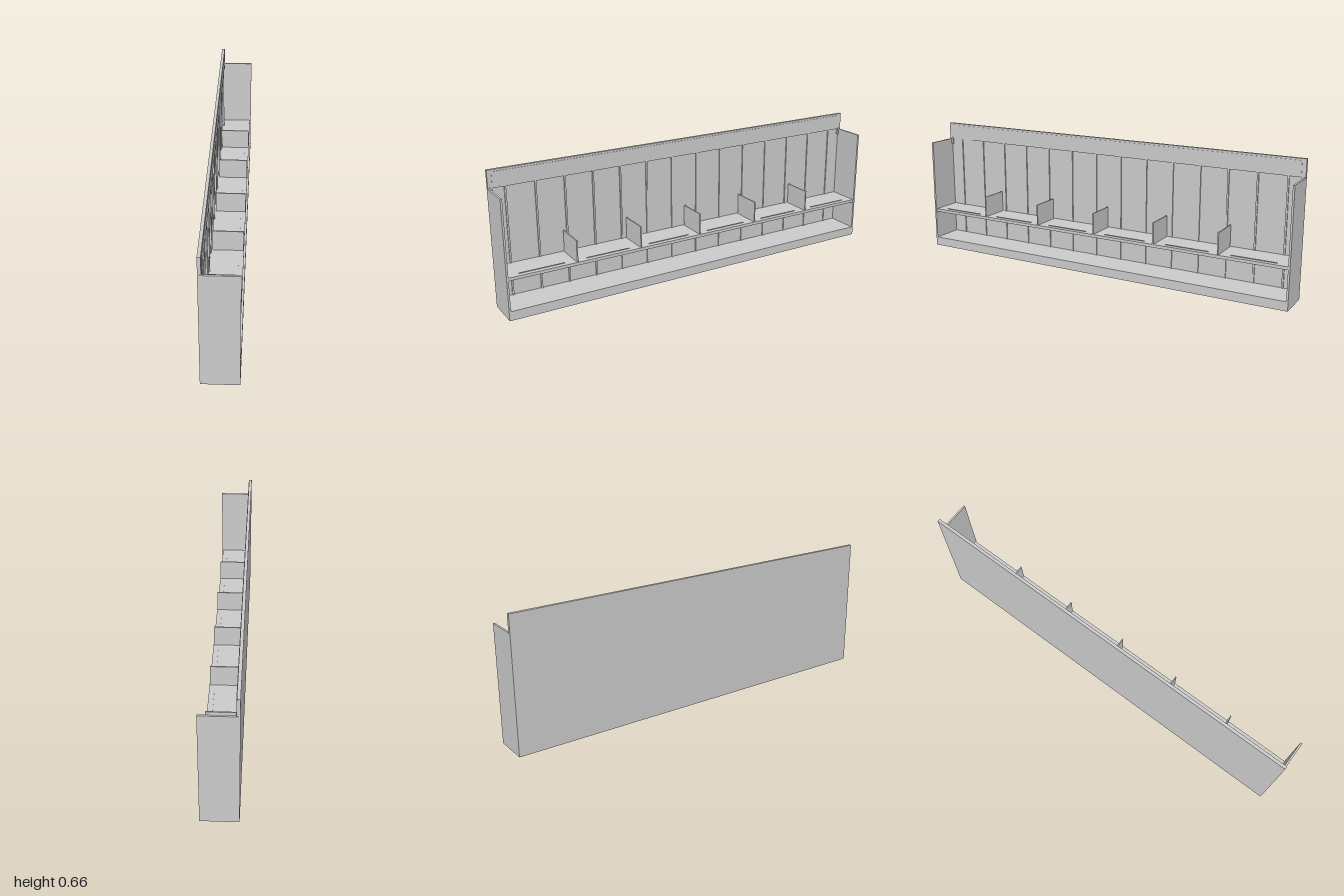
import * as THREE from 'three';

export function createModel() {
  const group = new THREE.Group();
  const material = new THREE.MeshStandardMaterial({ color: 0xcccccc });

  // Box given by its limits on each axis
  function box(name, [x0, x1], [y0, y1], [z0, z1]) {
    const geometry = new THREE.BoxGeometry(x1 - x0, y1 - y0, z1 - z0);
    const mesh = new THREE.Mesh(geometry, material);
    mesh.name = name;
    mesh.position.set((x0 + x1) / 2, (y0 + y1) / 2, (z0 + z1) / 2);
    group.add(mesh);
  }

  const back = -0.085, front = 0.085, wall = -0.077, inner = 0.991;

  // Back wall with the thicker header along its top
  box('backPanel', [back, wall], [0, 0.66], [-1, 1]);
  box('header', [wall, -0.07], [0.575, 0.66], [-1, 1]);
  box('headerPlate', [-0.07, -0.068], [0.582, 0.651], [-0.98, 0.98]);

  // Base plinth and shelf
  box('base', [wall, front], [0, 0.045], [-1, 1]);
  box('shelf', [wall, 0.08], [0.19, 0.205], [-inner, inner]);

  // End panels and the small brackets under the header
  for (const s of [-1, 1]) {
    const span = (a, b) => [Math.min(s * a, s * b), Math.max(s * a, s * b)];
    box('endPanel', [wall, front], [0.045, 0.573], span(inner, 1));
    box('headerBracket', [wall, -0.068], [0.545, 0.58], span(0.981, inner));
  }

  // Vertical ribs on the back wall, above and below the shelf
  const pitch = 0.1417;
  for (let i = 0; i < 14; i++) {
    const z = (i - 6.5) * pitch;
    box('backRib', [wall, -0.071], [0.045, 0.575], [z - 0.004, z + 0.004]);
  }

  // Dividers standing on the shelf
  const bay = 0.329;
  for (let i = -2; i <= 2; i++) {
    box('divider', [-0.07, 0.078], [0.205, 0.312], [i * bay - 0.003, i * bay + 0.003]);
  }

  // Low front lip in each bay
  for (let i = 0; i < 6; i++) {
    const z = (i - 2.5) * bay;
    box('shelfLip', [0.054, 0.057], [0.205, 0.208], [z - 0.11, z + 0.11]);
  }

  return group;
}
